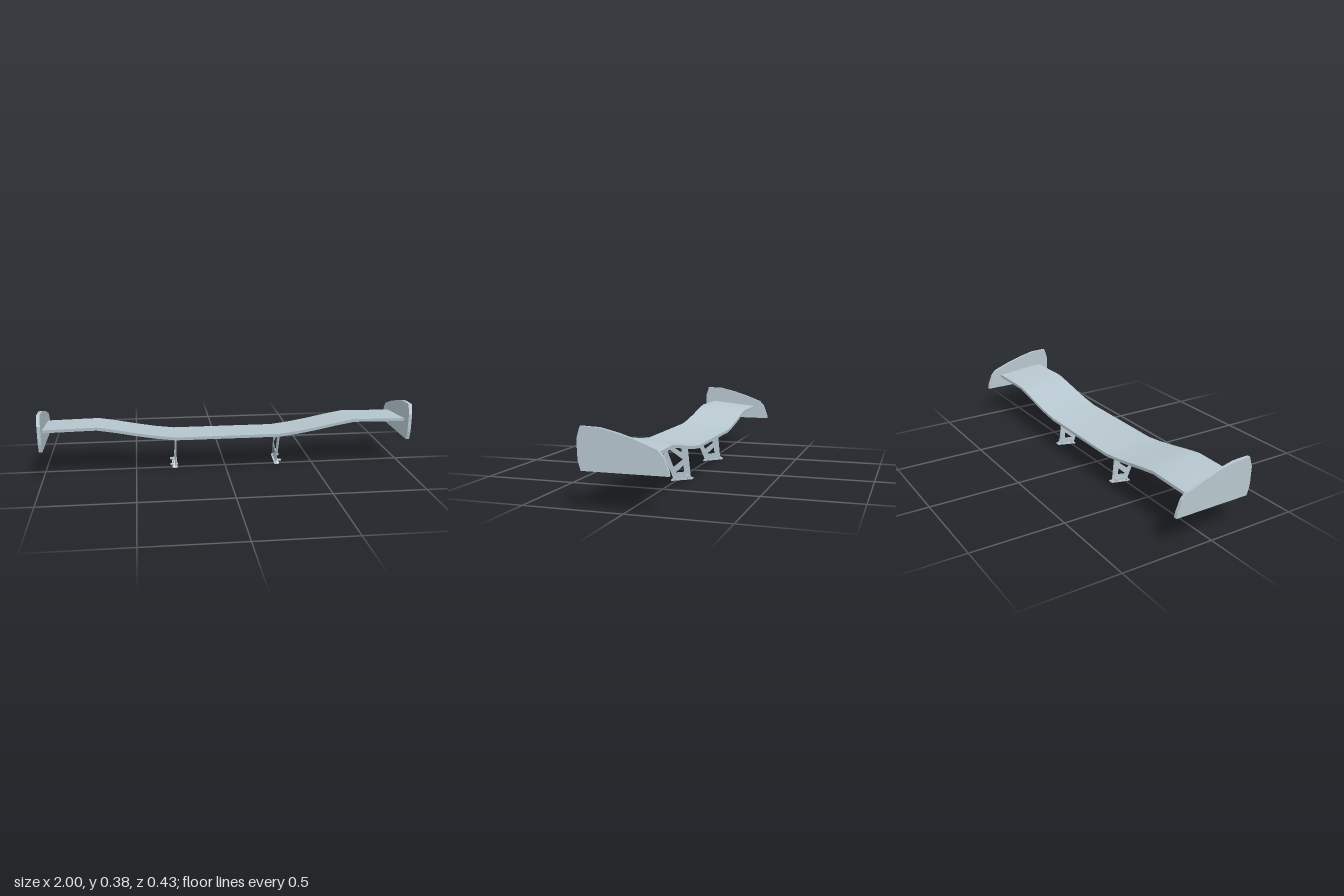
import * as THREE from 'three';
import { toCreasedNormals } from 'three/addons/utils/BufferGeometryUtils.js';

const paint = new THREE.MeshStandardMaterial({ color: 0xb8c8d0 });
paint.name = 'paleBlueGrey';

// Side-profile plate: points are [z, y], extruded from x0 to x1
function plate(name, points, x0, x1, holes = []) {
  const flip = (pts) => pts.map(([z, y]) => new THREE.Vector2(-z, y));
  const shape = new THREE.Shape(flip(points));
  holes.forEach((h) => shape.holes.push(new THREE.Path(flip(h))));
  const geo = new THREE.ExtrudeGeometry(shape, { depth: x1 - x0, bevelEnabled: false });
  geo.rotateY(Math.PI / 2).translate(x0, 0, 0);
  const mesh = new THREE.Mesh(geo, paint);
  mesh.name = name;
  return mesh;
}

// Wing blade: one tilted four-corner section lofted along the span
function wingBlade() {
  const half = [[0.28, 0], [0.38, 0.012], [0.48, 0.029], [0.6, 0.053], [0.7, 0.07], [0.985, 0.065]];
  const stations = [...half.map(([x, dy]) => [-x, dy]).reverse(), ...half];
  const section = [[0.155, 0.222], [-0.125, 0.195], [-0.125, 0.179], [0.152, 0.205]];
  const pos = [];
  const index = [];
  stations.forEach(([x, dy], i) => {
    section.forEach(([z, y], j) => {
      pos.push(x, y + dy, z);
      if (i === stations.length - 1) return;
      const a = i * 4 + j;
      const b = i * 4 + (j + 1) % 4;
      index.push(a, a + 4, b, b, a + 4, b + 4);
    });
  });
  const geo = new THREE.BufferGeometry();
  geo.setAttribute('position', new THREE.Float32BufferAttribute(pos, 3));
  geo.setIndex(index);
  const mesh = new THREE.Mesh(toCreasedNormals(geo, 0.6), paint);
  mesh.name = 'wingBlade';
  return mesh;
}

// Mount: truss leg, foot bracket, base flange and bolts; s is the outward side
function mount(s) {
  const g = new THREE.Group();
  g.name = s > 0 ? 'leftMount' : 'rightMount';
  const span = (name, pts, a, b, holes) =>
    g.add(plate(name, pts, Math.min(s * a, s * b), Math.max(s * a, s * b), holes));

  // Leg outline with a notch at the top and two triangular windows
  const leg = [
    [0.015, 0.012], [0.045, 0.08], [0.088, 0.18], [0.094, 0.202], [0.0, 0.193],
    [0.02, 0.18], [-0.033, 0.149], [-0.028, 0.19], [-0.063, 0.188], [-0.079, 0.03],
  ];
  const upperWindow = [[0.053, 0.177], [-0.038, 0.117], [0.013, 0.074], [0.036, 0.129]];
  const lowerWindow = [[-0.042, 0.085], [-0.046, 0.052], [0, 0.045]];
  span('trussLeg', leg, -0.004, 0.004, [upperWindow, lowerWindow]);

  span('footBracket', [
    [0.023, 0], [0.023, 0.006], [0.008, 0.028], [-0.07, 0.038], [-0.08, 0.032],
    [-0.094, 0.022], [-0.094, 0.017],
  ], 0.004, 0.01);
  span('footFlange', [[0.023, 0], [0.023, 0.006], [-0.094, 0.023], [-0.094, 0.017]], -0.01, 0.018);

  // Hex bolt head outside, nut inside
  for (const [z, y] of [[0.002, 0.017], [-0.064, 0.029]]) {
    for (const [name, r, len, x] of [['boltHead', 0.0065, 0.02, 0.02], ['boltNut', 0.0065, 0.008, -0.008]]) {
      const bolt = new THREE.Mesh(
        new THREE.CylinderGeometry(r, r, len, 6).rotateZ(Math.PI / 2), paint);
      bolt.position.set(s * x, y, z);
      bolt.name = name;
      g.add(bolt);
    }
  }
  g.position.x = 0.006 + s * 0.286;
  return g;
}

export function createModel() {
  const model = new THREE.Group();
  model.name = 'rearWing';
  model.add(wingBlade());

  const endOutline = [
    [0.2, 0.18], [0.213, 0.225], [0.215, 0.25], [0.217, 0.325], [0.2, 0.38], [0.11, 0.377],
    [0.02, 0.356], [-0.07, 0.328], [-0.16, 0.294], [-0.187, 0.265], [-0.21, 0.205], [-0.215, 0.18],
  ];
  model.add(plate('leftEndPlate', endOutline, 0.982, 1));
  model.add(plate('rightEndPlate', endOutline, -1, -0.982));
  model.add(mount(1), mount(-1));
  return model;
}
